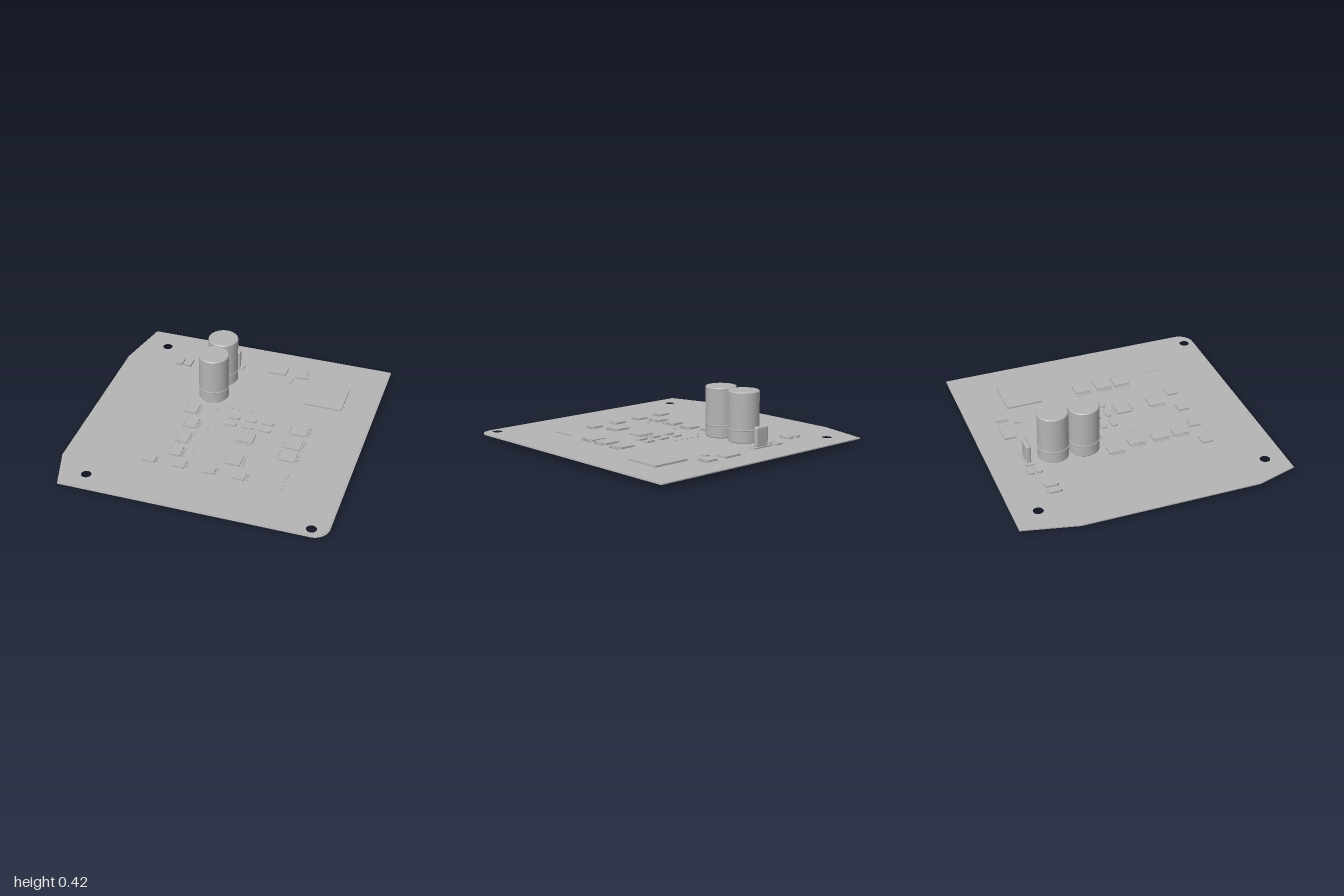
import * as THREE from 'three';
import { RoundedBoxGeometry } from 'three/addons/geometries/RoundedBoxGeometry.js';

const TOP = 0.044, MID = 0.041, UNDER = 0.036;

export function createModel() {
  const model = new THREE.Group();
  const grey = new THREE.MeshStandardMaterial({ color: 0xb4b4b4 });
  grey.name = 'plain grey';

  function add(name, geometry, x = 0, y = 0, z = 0, parent = model) {
    const mesh = new THREE.Mesh(geometry, grey);
    mesh.name = name;
    mesh.position.set(x, y, z);
    parent.add(mesh);
    return mesh;
  }
  const box = (name, x, y, z, w, h, d, parent) =>
    add(name, new THREE.BoxGeometry(w, h, d), x, y, z, parent);

  // Circuit board: two thin sheets with clipped left corners and one round corner
  function sheet(name, right, front, radius, bottom, thickness, holes) {
    const s = new THREE.Shape();
    s.moveTo(-0.91, 1);
    s.lineTo(right, 1);
    s.lineTo(right, -front + radius);
    s.absarc(right - radius, -front + radius, radius, 0, -Math.PI / 2, true);
    s.lineTo(-0.91, -front);
    s.lineTo(-1, -0.7);
    s.lineTo(-1, 0.6);
    s.closePath();
    for (const [x, z] of holes) {
      const hole = new THREE.Path();
      hole.absarc(x, -z, 0.037, 0, Math.PI * 2, true);
      s.holes.push(hole);
    }
    const g = new THREE.ExtrudeGeometry(s, { depth: thickness, bevelEnabled: false, curveSegments: 24 });
    g.rotateX(-Math.PI / 2);
    add(name, g, 0, bottom, 0);
  }
  const mounts = [[-0.755, -0.82], [-0.755, 0.85], [0.88, 0.925]];
  sheet('boardTop', 0.99, 0.99, 0.1, MID, TOP - MID, mounts);
  sheet('boardBottom', 1, 1, 0.11, UNDER, MID - UNDER, [...mounts, [0.89, -0.89]]);

  // Chip with bent leads on two sides; axis 'x' puts the leads left and right
  function chip(x, z, w, d, leads, reach, axis = 'x', sides = [-1, 1]) {
    const g = new THREE.Group();
    g.name = 'chip';
    g.position.set(x, TOP, z);
    model.add(g);
    box('chipBody', 0, 0.008, 0, w, 0.014, d, g);
    const along = axis === 'x' ? d : w, half = (axis === 'x' ? w : d) / 2;
    for (const s of sides) {
      for (let i = 0; i < leads; i++) {
        const t = ((i + 0.5) / leads - 0.5) * along * 0.95;
        const parts = [[half + reach * 0.3, 0.008, reach * 0.6, 0.003], [half + reach * 0.55, 0.005, 0.004, 0.009],
          [half + reach * 0.78, 0.0015, reach * 0.44, 0.003]];
        for (const [o, y, len, h] of parts) {
          if (axis === 'x') box('chipLead', s * o, y, t, len, h, 0.01, g);
          else box('chipLead', t, y, s * o, 0.01, h, len, g);
        }
      }
    }
  }
  chip(0.363, -0.752, 0.075, 0.096, 6, 0.018);
  chip(-0.293, -0.095, 0.08, 0.118, 5, 0.022);
  for (const z of [0.075, 0.257, 0.417]) chip(-0.243, z, 0.08, 0.118, 6, 0.022);
  for (const z of [-0.068, 0.098, 0.24]) chip(0.53, z, 0.112, 0.118, 6, 0.027);
  chip(0.18, 0.131, 0.126, 0.104, 5, 0.026, 'z');
  chip(0.18, 0.392, 0.108, 0.118, 5, 0.027);
  for (let i = 0; i < 4; i++) chip(-0.393 + i * 0.2193, 0.553, 0.09, 0.082, 3, 0.02, 'x', [1]);

  // Flat square packages
  box('processor', 0.612, TOP + 0.007, -0.532, 0.284, 0.014, 0.272);
  box('flatPackage', 0.168, TOP + 0.007, -0.755, 0.144, 0.014, 0.092);
  box('flatPackage', 0.29, TOP + 0.005, -0.65, 0.045, 0.01, 0.04);

  // Small rounded surface parts
  const pill = (x, z, w, d, h) => {
    const r = Math.min(w, d) * 0.25, s = new THREE.Shape(), a = w / 2, b = d / 2;
    s.moveTo(-a + r, -b);
    s.lineTo(a - r, -b); s.lineTo(a, -b + r);
    s.lineTo(a, b - r); s.lineTo(a - r, b);
    s.lineTo(-a + r, b); s.lineTo(-a, b - r);
    s.lineTo(-a, -b + r); s.closePath();
    const g = new THREE.ExtrudeGeometry(s, { depth: h, bevelEnabled: false });
    g.rotateX(-Math.PI / 2);
    add('surfacePart', g, x, TOP, z);
  };
  for (const x of [-0.588, -0.517]) pill(x, -0.65, 0.055, 0.1, 0.017);
  for (const z of [-0.741, -0.681]) pill(-0.321, z, 0.086, 0.048, 0.013);
  for (const x of [0.027, 0.155, 0.286]) for (const z of [-0.082, 0.003]) pill(x, z, 0.088, 0.038, 0.013);

  // Tiny resistors
  const tiny = [[-0.27, 0.34], [-0.125, 0.4], [-0.195, 0.18], [-0.12, 0.105], [-0.125, -0.136]];
  for (let i = 0; i < 5; i++) tiny.push([-0.07 + i * 0.05, -0.19], [0.58, 0.44 + i * 0.038]);
  for (const [x, z] of tiny) box('resistor', x, TOP + 0.003, z, 0.02, 0.006, 0.012);

  // Tall can capacitors, with a slim ring near the base
  const profile = [[0, 0.056], [0.106, 0.056], [0.111, 0.061], [0.111, 0.143], [0.107, 0.147],
    [0.111, 0.151], [0.111, 0.412], [0.106, 0.418], [0, 0.418]];
  // repeated points keep the rims crisp
  const points = profile.flatMap(([x, y], i) => (i > 0 && i < 8 ? [[x, y], [x, y]] : [[x, y]]))
    .map(([x, y]) => new THREE.Vector2(x, y));
  for (const z of [-0.53, -0.302]) {
    add('capacitorCan', new THREE.LatheGeometry(points, 48), -0.2, 0, z);
    const ring = new THREE.TorusGeometry(0.112, 0.005, 6, 48);
    ring.rotateX(Math.PI / 2);
    add('capacitorRing', ring, -0.2, 0.147, z);
    for (const s of [-1, 1]) {
      add('capacitorPin', new THREE.CylinderGeometry(0.006, 0.006, 0.03, 10), -0.2 + s * 0.04, 0.047, z);
    }
  }

  // Upright sensor on its foot
  box('sensorFoot', -0.175, TOP + 0.005, -0.72, 0.17, 0.01, 0.06);
  add('sensorBody', new RoundedBoxGeometry(0.115, 0.146, 0.037, 2, 0.012), -0.178, 0.12, -0.72);

  // Bent leads poking out below the board
  for (const x of [-0.41, -0.31, -0.215, -0.11]) {
    const curve = new THREE.CatmullRomCurve3([[0.042, -0.725], [0.026, -0.727], [0.013, -0.74], [0.008, -0.775]]
      .map(([y, z]) => new THREE.Vector3(x, y, z)));
    add('bentLead', new THREE.TubeGeometry(curve, 10, 0.008, 8), 0, 0, 0);
  }

  // Parts on the underside
  const below = (name, x, z, w, d, h) => box(name, x, UNDER - h / 2, z, w, h, d);
  for (let i = 0; i < 8; i++) {
    const x = 0.67 - i * 0.175;
    below('driver', x, 0.915, 0.13, 0.115, 0.014);
    for (const s of [-1, 1]) below('driverTab', x + s * 0.04, 0.845, 0.03, 0.025, 0.004);
  }
  for (const x of [0.65, 0.16, -0.3]) for (const s of [-1, 1]) below('chip', x + s * 0.035, 0.805, 0.035, 0.025, 0.008);
  below('largeUnderChip', 0.04, -0.435, 0.21, 0.155, 0.014);
  for (const x of [-0.2, -0.39]) below('underPackage', x, -0.845, 0.14, 0.13, 0.014);
  const small = [[0.07, -0.74, 0.06], [0.285, -0.74, 0.06], [0.43, -0.86, 0.03], [0.33, -0.86, 0.03], [-0.06, -0.69, 0.04],
    [-0.466, -0.53, 0.04], [-0.53, -0.74, 0.06], [-0.635, -0.73, 0.06], [-0.586, -0.85, 0.05], [-0.71, -0.76, 0.06],
    [-0.39, 0.07, 0.03], [-0.16, 0, 0.03], [-0.71, 0.93, 0.04]];
  for (const [x, z, w] of small) below('underPart', x, z, w, w * 0.7, 0.008);

  return model;
}
